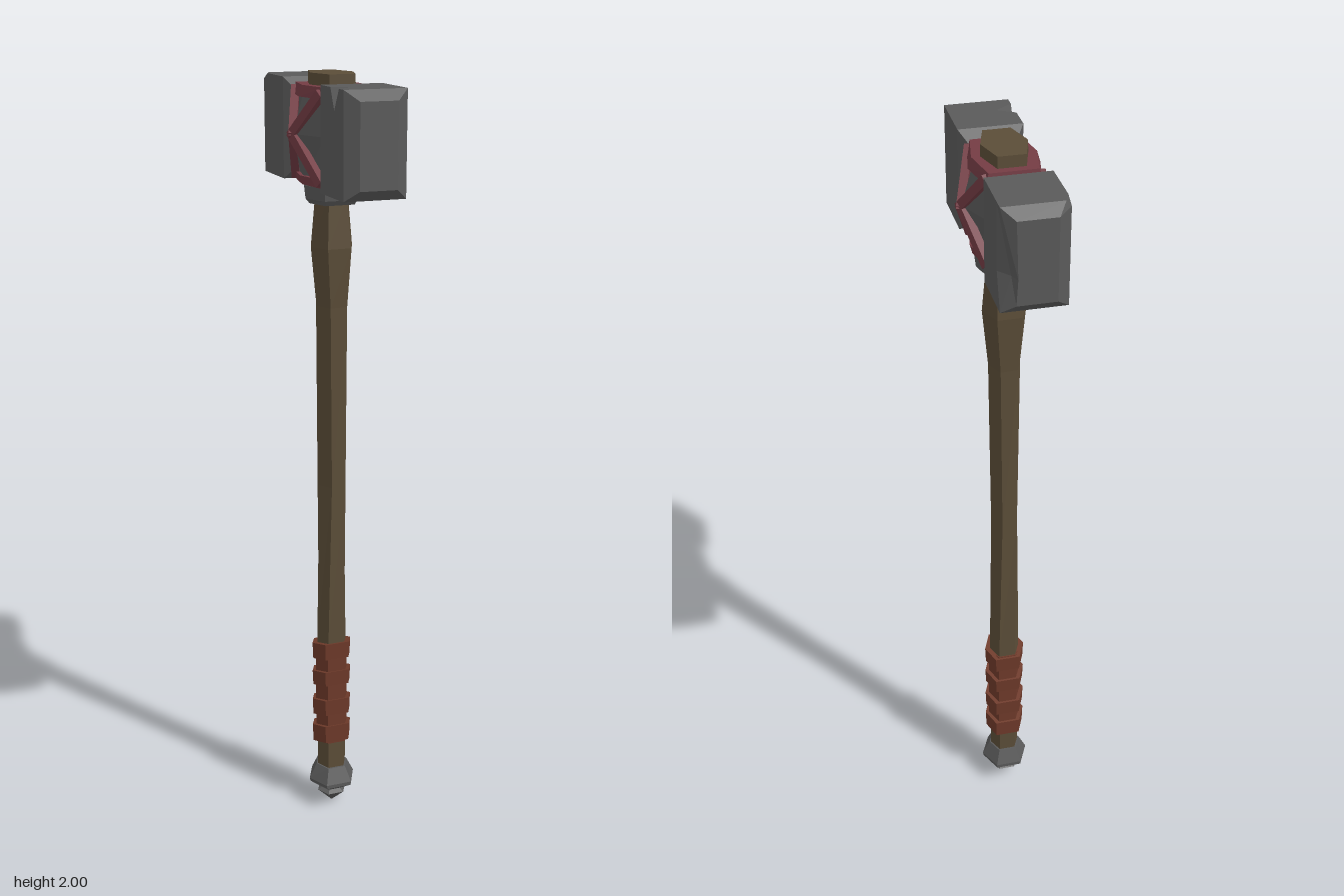
import * as THREE from 'three';

const mat = (name, color, side = THREE.FrontSide) => {
  const m = new THREE.MeshStandardMaterial({ color, side, flatShading: true });
  m.name = name;
  return m;
};

// Skin a list of rings; each ring runs counter-clockwise seen from the last ring's end.
function loft(rings) {
  const pos = [];
  const n = rings[0].length;
  const tri = (a, b, c) => pos.push(...a, ...b, ...c);
  for (let k = 0; k < rings.length - 1; k++) {
    for (let i = 0; i < n; i++) {
      const j = (i + 1) % n;
      const [a, b, c, d] = [rings[k][i], rings[k][j], rings[k + 1][j], rings[k + 1][i]];
      tri(a, b, c);
      tri(a, c, d);
    }
  }
  const mid = (r) => [0, 1, 2].map((c) => r.reduce((s, p) => s + p[c], 0) / n);
  const first = rings[0], last = rings[rings.length - 1];
  for (let i = 0; i < n; i++) {
    const j = (i + 1) % n;
    tri(mid(first), first[j], first[i]);
    tri(mid(last), last[i], last[j]);
  }
  const g = new THREE.BufferGeometry();
  g.setAttribute('position', new THREE.Float32BufferAttribute(pos, 3));
  g.computeVertexNormals();
  return g;
}

// Six-sided ring: points at +-x, flats at +-z, with optional twist and tilt.
function hex(y, tip, flat = tip * 0.9, corner = tip * 0.55, twist = 0, tilt = 0) {
  const c = Math.cos(twist), s = Math.sin(twist);
  return [[tip, 0], [corner, -flat], [-corner, -flat], [-tip, 0], [-corner, flat], [corner, flat]]
    .map(([x, z]) => [x * c + z * s, y + z * tilt, z * c - x * s]);
}

export function createModel() {
  const steel = mat('dark steel', 0x5a5a5a);
  const wood = mat('brown wood', 0x5b4d38);
  const strapRed = mat('red strap', 0x743c44);
  const leather = mat('grip leather', 0x6e3a2a);

  const model = new THREE.Group();
  model.name = 'warHammer';
  const add = (name, geometry, material, parent = model) => {
    const m = new THREE.Mesh(geometry, material);
    m.name = name;
    parent.add(m);
    return m;
  };

  // Wooden shaft, slightly uneven, swelling below the head
  const shaft = [
    [0.11, 0.04, 0.037, 0], [0.5, 0.041, 0.037, 0], [0.95, 0.037, 0.039, 0.15],
    [1.43, 0.041, 0.047, 0.05], [1.58, 0.055, 0.057, 0], [1.71, 0.043, 0.046, 0],
  ];
  add('shaft', loft(shaft.map(([y, t, f, w]) => hex(y, t, f, t * 0.55, w))), wood);
  add('shaftTop', loft([hex(1.94, 0.057, 0.076, 0.034), hex(2, 0.055, 0.075, 0.033)]), wood);

  // Leather grip: thin sleeve with four tilted bands
  const grip = new THREE.Group();
  grip.name = 'grip';
  model.add(grip);
  add('gripSleeve', loft([hex(0.2, 0.045, 0.04), hex(0.49, 0.045, 0.04)]), leather, grip);
  for (const [y, h] of [[0.222, 0.05], [0.303, 0.046], [0.391, 0.042], [0.472, 0.046]]) {
    const ring = (dy, r) => hex(y + dy, r, r * 0.82, r * 0.62, 0, 0.2);
    add('gripBand', loft([ring(-h / 2, 0.053), ring(h / 2, 0.055)]), leather, grip);
  }

  // Faceted pommel with a pointed tip
  add('pommel', loft([
    hex(0, 0.002), hex(0.037, 0.04), hex(0.045, 0.028), hex(0.07, 0.063, 0.06), hex(0.08, 0.065, 0.06),
    hex(0.122, 0.044, 0.042),
  ]), steel);

  // Collar below the head
  add('collar', loft([
    hex(1.688, 0.058, 0.06, 0.038), hex(1.7, 0.068, 0.068, 0.042),
    hex(1.732, 0.072, 0.073, 0.044), hex(1.75, 0.06, 0.06, 0.038),
  ]), steel);

  // Head core, bulging at the sides, and the neck joining both blocks
  const head = new THREE.Group();
  head.name = 'head';
  model.add(head);
  add('headCore', loft([
    hex(1.745, 0.07, 0.088, 0.05), hex(1.857, 0.1, 0.1, 0.055), hex(1.955, 0.072, 0.088, 0.05),
  ]), steel, head);
  add('headNeck', new THREE.BoxGeometry(0.11, 0.185, 0.23).translate(0, 1.857, 0), steel, head);

  // Block section: cut nicks the top edge at -x, dent pushes in the side edge at +x
  const section = (z, w, inset, cut = 0, dent = 0) => {
    const y0 = 1.732 + inset, y1 = 1.982 - inset;
    return [[w, y0, z], [w - dent, 1.82, z], [w, y1, z],
      [-w + cut, y1, z], [-w, y1 - cut * 1.2, z], [-w, y0, z]];
  };
  add('frontBlock', loft([
    section(0.105, 0.055, 0.03), section(0.134, 0.078, 0), section(0.2, 0.078, 0),
    section(0.225, 0.078, 0, 0.042), section(0.255, 0.078, 0),
    section(0.284, 0.078, 0), section(0.308, 0.047, 0.025),
  ]), steel, head);
  add('backBlock', loft([
    section(-0.308, 0.047, 0.025, 0, 0.004), section(-0.284, 0.078, 0, 0.012, 0.025),
    section(-0.255, 0.078, 0), section(-0.134, 0.078, 0), section(-0.105, 0.055, 0.03),
  ]), steel, head);

  // Red straps: a ring above and below, and a cross on each side
  const straps = new THREE.Group();
  straps.name = 'straps';
  model.add(straps);
  add('topStrap', loft([hex(1.945, 0.084, 0.098, 0.064), hex(1.972, 0.076, 0.095, 0.058)]), strapRed, straps);
  add('bottomStrap', loft([hex(1.735, 0.076, 0.095, 0.058), hex(1.757, 0.082, 0.097, 0.062)]), strapRed, straps);

  for (const sx of [1, -1]) {
    const centre = new THREE.Vector3(sx * 0.1, 1.857, 0);
    for (const y of [1.955, 1.75]) {
      for (const z of [0.088, -0.088]) {
        const end = new THREE.Vector3(sx * 0.062, y, z);
        const dir = end.clone().sub(centre);
        const bar = add('crossStrap', new THREE.BoxGeometry(0.02, 0.022, dir.length() + 0.012), strapRed, straps);
        bar.position.copy(centre).addScaledVector(dir, 0.5);
        bar.up.set(0, 1, 0);
        bar.lookAt(end);
      }
    }
  }
  return model;
}
